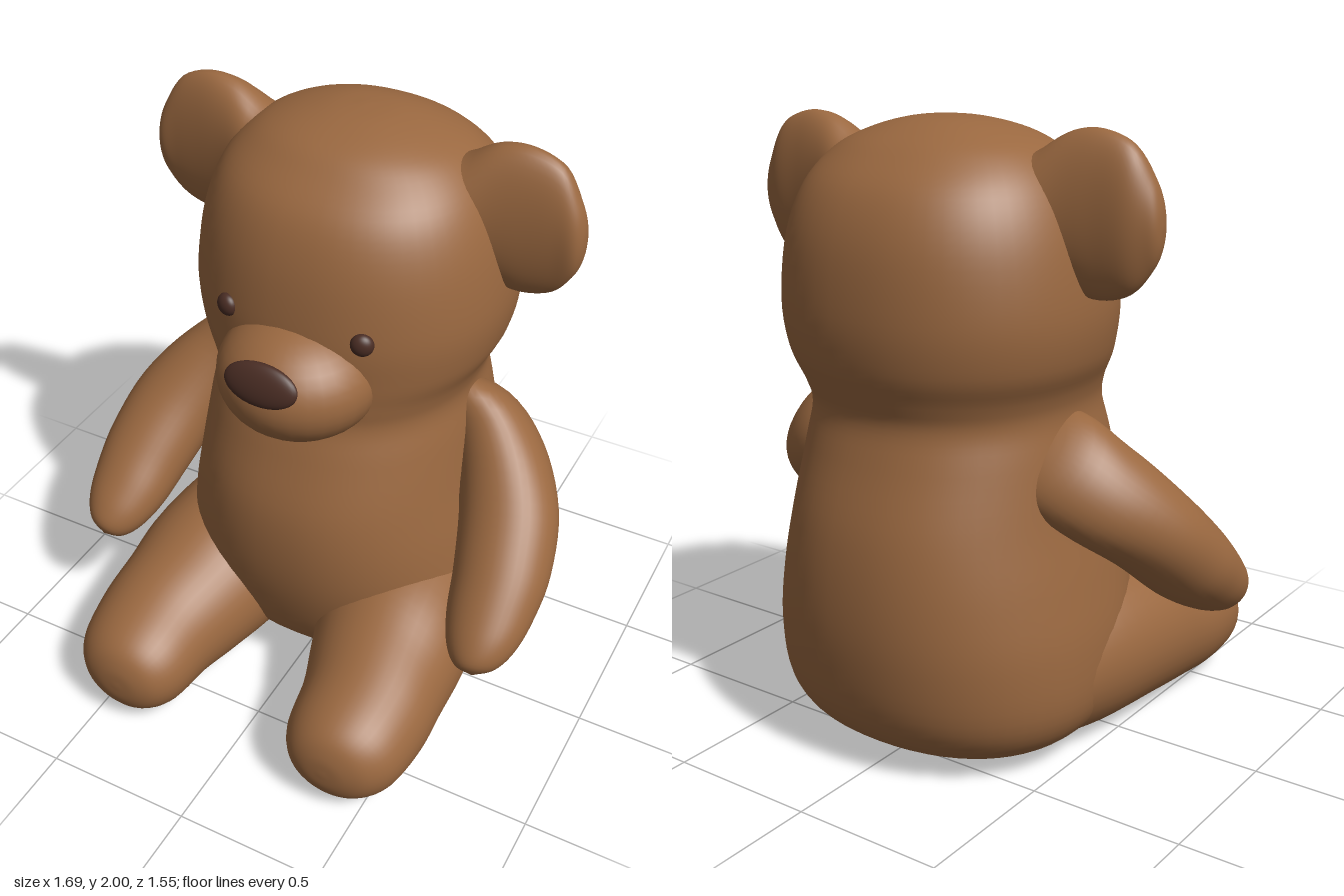
import * as THREE from 'three';
import { mergeVertices } from 'three/addons/utils/BufferGeometryUtils.js';

const fur = new THREE.MeshStandardMaterial({ color: 0x9a6840 });
fur.name = 'brown fur';
const dark = new THREE.MeshStandardMaterial({ color: 0x4a2d24 });
dark.name = 'dark brown';

// Smooth loft through oval sections [x, y, z, radiusU, radiusV], all square to one axis.
// U is the hint direction made square to the axis; power above 2 squares the ovals a little.
function loft(sections, axis, hint, power = 2, sides = 40, steps = 5) {
  const t = new THREE.Vector3(...axis).normalize();
  const u = new THREE.Vector3(...hint);
  u.addScaledVector(t, -u.dot(t)).normalize();
  const v = new THREE.Vector3().crossVectors(t, u);
  const spline = (pts) => new THREE.CatmullRomCurve3(pts, false, 'catmullrom', 0.5);
  const path = spline(sections.map((s) => new THREE.Vector3(s[0], s[1], s[2])));
  const radii = spline(sections.map((s) => new THREE.Vector3(s[3], s[4], 0)));
  const rings = (sections.length - 1) * steps;
  const pos = [], index = [];
  const bend = (c) => Math.sign(c) * Math.abs(c) ** (2 / power);
  for (let i = 0; i <= rings; i++) {
    const c = path.getPoint(i / rings), r = radii.getPoint(i / rings);
    for (let j = 0; j < sides; j++) {
      const a = (j / sides) * Math.PI * 2;
      const p = c.clone()
        .addScaledVector(u, bend(Math.cos(a)) * Math.max(r.x, 0))
        .addScaledVector(v, bend(Math.sin(a)) * Math.max(r.y, 0));
      pos.push(p.x, p.y, p.z);
      if (i < rings) {
        const k = (j + 1) % sides, b = i * sides, n = b + sides;
        index.push(b + j, b + k, n + k, b + j, n + k, n + j);
      }
    }
  }
  const geo = new THREE.BufferGeometry();
  geo.setAttribute('position', new THREE.Float32BufferAttribute(pos, 3));
  geo.setIndex(index);
  const merged = mergeVertices(geo, 1e-4);
  merged.computeVertexNormals();
  return merged;
}

export function createModel() {
  const bear = new THREE.Group();
  bear.name = 'teddyBear';
  const add = (name, geo, mat) => {
    const mesh = new THREE.Mesh(geo, mat);
    mesh.name = name;
    bear.add(mesh);
    return mesh;
  };
  const ellipsoid = (name, mat, [x, y, z], [rx, ry, rz]) => {
    const mesh = add(name, new THREE.SphereGeometry(1, 32, 20), mat);
    mesh.position.set(x, y, z);
    mesh.scale.set(rx, ry, rz);
    return mesh;
  };

  // Body and head in one skin: height, front z, back z, half width
  const trunk = [
    [0.03, -0.25, -0.25, 0], [0.035, 0, -0.5, 0.33], [0.08, 0.15, -0.64, 0.47],
    [0.2, 0.26, -0.73, 0.55], [0.4, 0.33, -0.77, 0.56], [0.6, 0.36, -0.775, 0.53],
    [0.8, 0.35, -0.75, 0.49], [1.0, 0.29, -0.69, 0.46], [1.12, 0.25, -0.66, 0.44],
    [1.2, 0.25, -0.68, 0.455], [1.3, 0.25, -0.715, 0.5], [1.45, 0.25, -0.73, 0.52],
    [1.65, 0.22, -0.71, 0.495], [1.8, 0.16, -0.65, 0.44], [1.9, 0.06, -0.55, 0.355],
    [1.955, -0.02, -0.46, 0.25], [1.99, -0.14, -0.36, 0.12], [2.0, -0.25, -0.25, 0],
  ].map(([y, f, b, w]) => [0, y, (f + b) / 2, w, (f - b) / 2]);
  add('bodyAndHead', loft(trunk, [0, 1, 0], [1, 0, 0], 2.2, 56), fur);

  // Limbs and ears, from inside the body to the tip
  const arm = [
    [0.28, 1.05, -0.36, 0, 0], [0.38, 1.02, -0.3, 0.14, 0.16], [0.53, 0.91, -0.23, 0.15, 0.17],
    [0.635, 0.77, -0.09, 0.165, 0.15], [0.685, 0.63, 0.06, 0.16, 0.14],
    [0.7, 0.535, 0.18, 0.143, 0.12], [0.71, 0.47, 0.27, 0.112, 0.095],
    [0.715, 0.43, 0.325, 0.065, 0.06], [0.715, 0.413, 0.345, 0, 0],
  ];
  const leg = [
    [0.28, 0.28, -0.55, 0, 0], [0.28, 0.28, -0.45, 0.2, 0.2], [0.32, 0.29, -0.15, 0.27, 0.27],
    [0.35, 0.28, 0.15, 0.28, 0.27], [0.38, 0.245, 0.35, 0.25, 0.24],
    [0.405, 0.22, 0.5, 0.225, 0.213], [0.405, 0.2, 0.65, 0.2, 0.18],
    [0.4, 0.195, 0.73, 0.15, 0.135], [0.395, 0.195, 0.765, 0.08, 0.07], [0.395, 0.195, 0.773, 0, 0],
  ];
  const ear = [
    [0.2, 1.72, -0.25, 0, 0], [0.28, 1.72, -0.25, 0.15, 0.16], [0.36, 1.735, -0.25, 0.19, 0.135],
    [0.45, 1.745, -0.25, 0.23, 0.105], [0.55, 1.74, -0.25, 0.245, 0.085],
    [0.65, 1.735, -0.25, 0.212, 0.07], [0.71, 1.725, -0.24, 0.13, 0.052],
    [0.735, 1.72, -0.24, 0.065, 0.03], [0.742, 1.72, -0.24, 0, 0],
  ];
  for (const [side, s] of [['left', 1], ['right', -1]]) {
    const mirror = (rows) => rows.map(([x, ...rest]) => [x * s, ...rest]);
    add(side + 'Arm', loft(mirror(arm), [0.2 * s, -0.62, 0.62], [1, 0, 0]), fur);
    add(side + 'Leg', loft(mirror(leg), [0, 0, 1], [1, 0, 0]), fur);
    add(side + 'Ear', loft(mirror(ear), [s, 0, 0], [0, 1, 0]), fur);
    const eye = ellipsoid(side + 'Eye', dark, [0.233 * s, 1.467, 0.208], [0.037, 0.038, 0.027]);
    eye.rotation.y = 0.3 * s;
  }

  // Face
  ellipsoid('muzzle', fur, [0, 1.275, 0.17], [0.265, 0.203, 0.262]);
  const nose = ellipsoid('nose', dark, [0, 1.372, 0.412], [0.125, 0.07, 0.03]);
  nose.rotation.x = -0.3;

  return bear;
}
